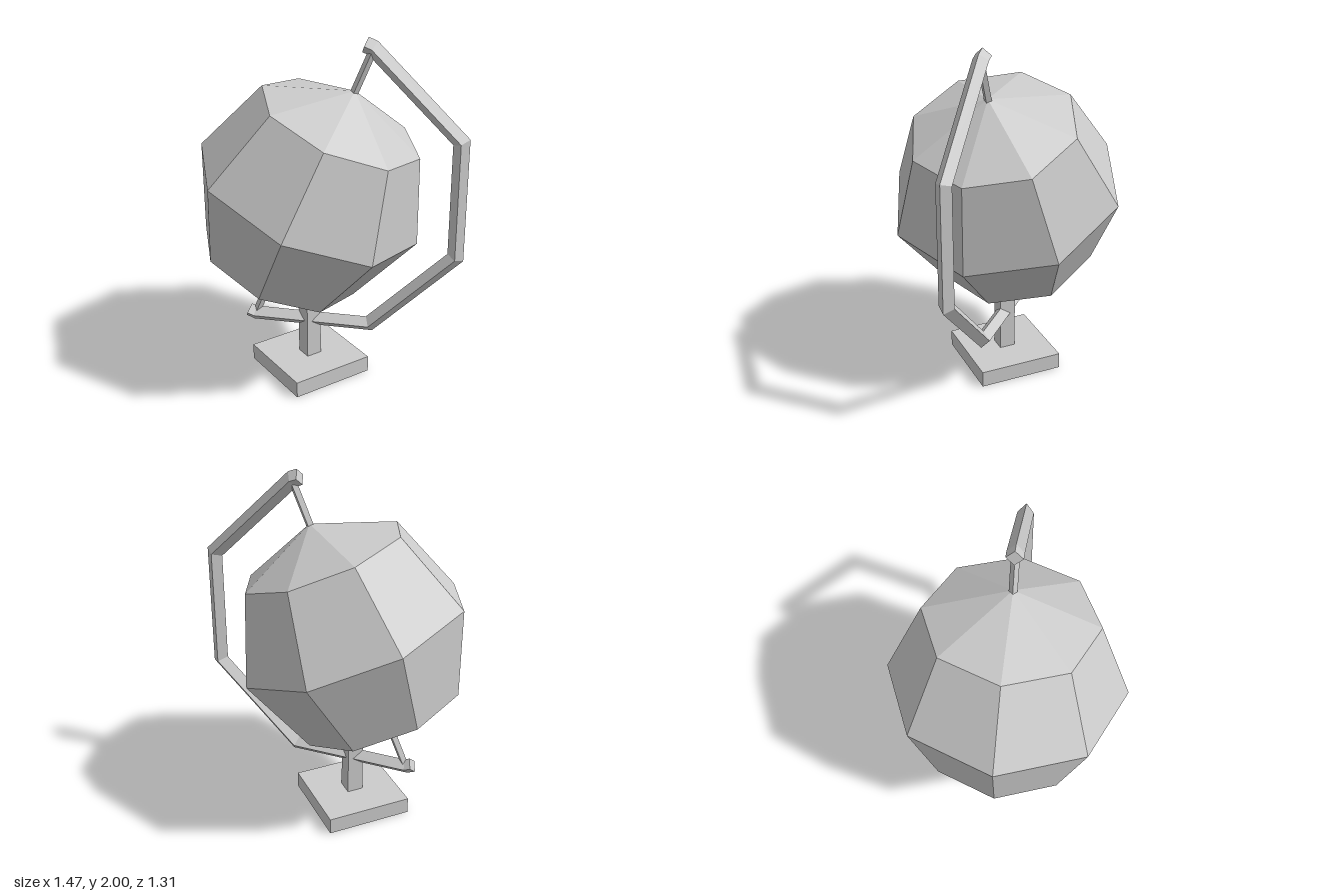
import * as THREE from 'three';

const CX = -0.13, CY = 1.108, TILT = Math.PI / 8;
const material = new THREE.MeshStandardMaterial({ color: 0xcccccc, flatShading: true });

function add(group, name, geometry, x = 0, y = 0) {
  const mesh = new THREE.Mesh(geometry, material);
  mesh.name = name;
  mesh.position.set(x, y, 0);
  group.add(mesh);
  return mesh;
}

// Sweep a diamond section along a path in the xy plane, with mitred corners
function diamondBar(path, r) {
  const pts = path.map(p => new THREE.Vector2(...p));
  const positions = [], index = [];
  const last = pts.length - 1;
  const normal = i => {
    const t = pts[i + 1].clone().sub(pts[i]).normalize();
    return new THREE.Vector2(-t.y, t.x);
  };
  pts.forEach((p, i) => {
    const a = normal(Math.max(i - 1, 0)), b = normal(Math.min(i, last - 1));
    const n = a.clone().add(b).normalize();
    n.multiplyScalar(r / n.dot(a));
    positions.push(p.x + n.x, p.y + n.y, 0, p.x, p.y, r, p.x - n.x, p.y - n.y, 0, p.x, p.y, -r);
  });
  for (let i = 0; i < last; i++) {
    for (let j = 0; j < 4; j++) {
      const a = i * 4 + j, b = i * 4 + (j + 1) % 4;
      index.push(a, b, b + 4, a, b + 4, a + 4);
    }
  }
  const e = last * 4;
  index.push(0, 2, 1, 0, 3, 2, e, e + 1, e + 2, e, e + 2, e + 3);
  const geometry = new THREE.BufferGeometry();
  geometry.setAttribute('position', new THREE.Float32BufferAttribute(positions, 3));
  geometry.setIndex(index);
  const flat = geometry.toNonIndexed();
  flat.computeVertexNormals();
  return flat;
}

export function createModel() {
  const model = new THREE.Group();
  model.name = 'deskGlobe';

  // Square foot and post, turned corner-forward
  add(model, 'base', new THREE.CylinderGeometry(0.347, 0.347, 0.095, 4), CX - 0.004, 0.0475);
  add(model, 'post', new THREE.CylinderGeometry(0.065, 0.065, 0.37, 4), CX - 0.004, 0.275);

  // Curved arm with short turned ends that hold the axle
  add(model, 'arm', diamondBar([
    [-0.497, 0.337], [-0.46, 0.321], [0.215, 0.321], [0.688, 0.793],
    [0.688, 1.466], [0.212, 1.945], [0.172, 1.961],
  ], 0.044));

  // Tilted ball and its axle
  const tilted = new THREE.Group();
  tilted.name = 'tiltedGlobe';
  tilted.position.set(CX, CY, 0);
  tilted.rotation.z = -TILT;
  model.add(tilted);
  add(tilted, 'globe', new THREE.SphereGeometry(0.654, 8, 4));
  add(tilted, 'axle', new THREE.CylinderGeometry(0.022, 0.022, 1.74, 4), 0, 0.025);

  return model;
}
